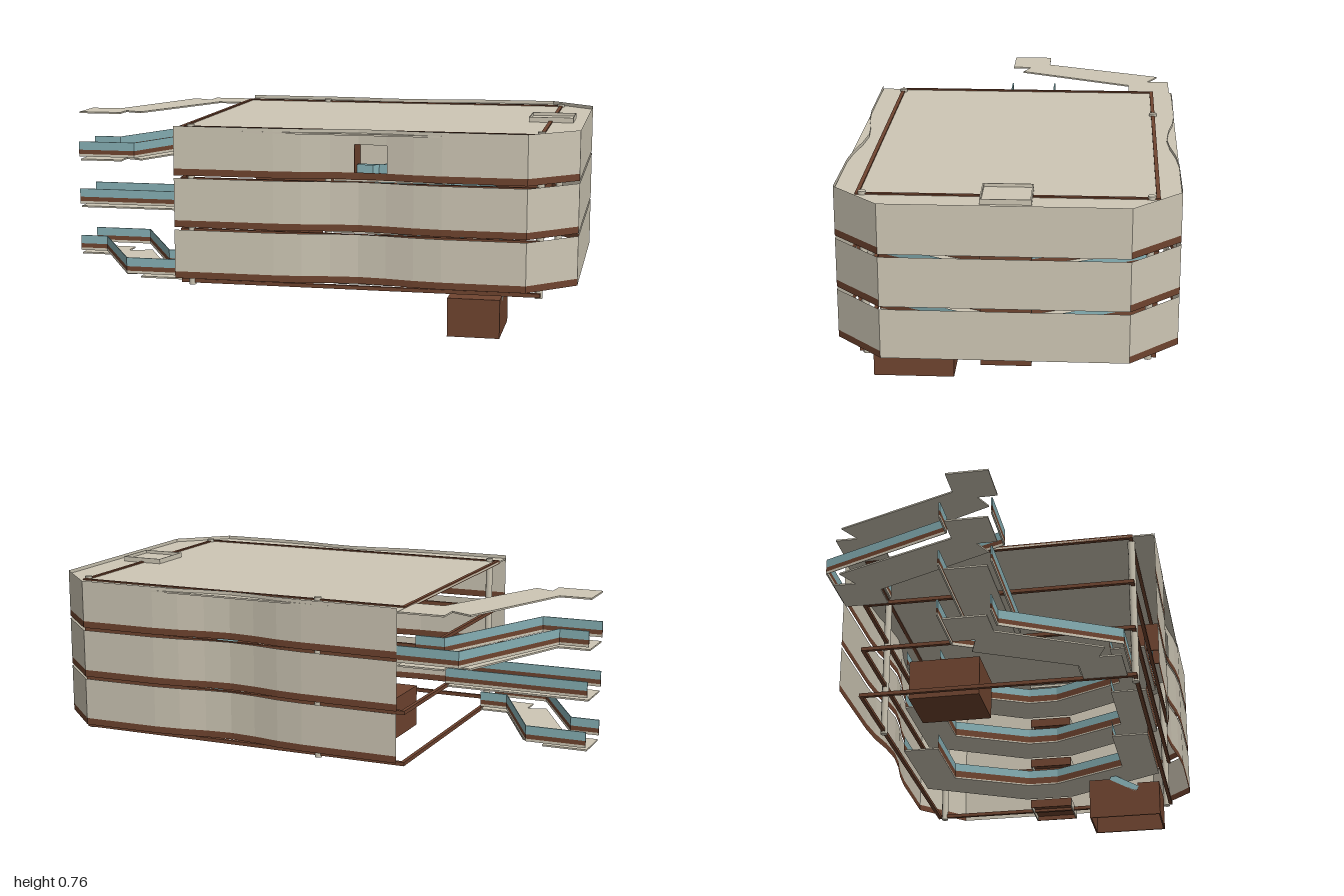
import * as THREE from 'three';

const mat = (name, color) => {
  const m = new THREE.MeshStandardMaterial({ color, side: THREE.DoubleSide });
  m.name = name;
  return m;
};
const PITCH = 0.19;

export function createModel() {
  const model = new THREE.Group();
  const concrete = mat('concrete', 0xcec7b5);
  const brown = mat('brown', 0x6f442f);
  const teal = mat('teal', 0x86b0b5);

  const add = (name, geo, material, parent = model) => {
    const mesh = new THREE.Mesh(geo, material);
    mesh.name = name;
    parent.add(mesh);
    return mesh;
  };
  const box = (name, x0, x1, y0, y1, z0, z1, material, parent) => {
    const g = new THREE.BoxGeometry(x1 - x0, y1 - y0, z1 - z0);
    g.translate((x0 + x1) / 2, (y0 + y1) / 2, (z0 + z1) / 2);
    return add(name, g, material, parent);
  };
  // Upright sheet following a plan path of [x, z] points
  const ribbon = (name, path, y0, y1, material, parent) => {
    const v = [];
    for (let i = 0; i < path.length - 1; i++) {
      const [ax, az] = path[i], [bx, bz] = path[i + 1];
      v.push(ax, y0, az, bx, y0, bz, bx, y1, bz, ax, y0, az, bx, y1, bz, ax, y1, az);
    }
    const g = new THREE.BufferGeometry();
    g.setAttribute('position', new THREE.Float32BufferAttribute(v, 3));
    g.computeVertexNormals();
    return add(name, g, material, parent);
  };
  // Flat plate from a plan outline of [x, z] points
  const plate = (name, outline, y, thick, material, parent) => {
    const shape = new THREE.Shape(outline.map(([x, z]) => new THREE.Vector2(x, -z)));
    const g = new THREE.ExtrudeGeometry(shape, { depth: thick, bevelEnabled: false });
    g.rotateX(-Math.PI / 2);
    g.translate(0, y, 0);
    return add(name, g, material, parent);
  };
  const flip = (pts) => pts.map(([x, z]) => [x, -z]);

  // Long wall: straight, a shallow curved recess, straight again
  const wave = [[-0.45, 0.595], [-0.08, 0.592]];
  for (let i = 1; i <= 6; i++) {
    const t = i / 6;
    wave.push([-0.08 + 0.61 * t, 0.593 - 0.036 * Math.sin(Math.PI * t) ** 2]);
  }
  wave.push([0.83, 0.595]);
  const chamferEnd = [1, 0.425];
  const windowX = [0.21, 0.33];
  const zAt = (x) => {
    const i = Math.max(1, wave.findIndex((p) => p[0] >= x));
    const a = wave[i - 1], b = wave[i];
    return a[1] + (b[1] - a[1]) * (x - a[0]) / (b[0] - a[0]);
  };
  const part = (x0, x1) => [[x0, zAt(x0)],
    ...wave.filter((p) => p[0] > x0 && p[0] < x1), [x1, zAt(x1)]];

  // Three facade tiers, each with a brown band on the long walls and chamfers
  for (let k = 0; k < 3; k++) {
    const tier = new THREE.Group();
    tier.name = 'facadeTier' + (k + 1);
    model.add(tier);
    const y0 = 0.195 + k * PITCH, yb = y0 + 0.025, y1 = y0 + 0.18;
    const side = [...wave, chamferEnd];
    ribbon('backWall', flip(side), yb, y1, concrete, tier);
    ribbon('backBand', flip(side), y0, yb, brown, tier);
    ribbon('frontBand', side, y0, yb, brown, tier);
    ribbon('endWall', [[1, -0.425], [1, 0.425]], y0, y1, concrete, tier);
    if (k < 2) ribbon('frontWall', side, yb, y1, concrete, tier);
    else {
      ribbon('frontWallLeft', part(-0.45, windowX[0]), yb, y1, concrete, tier);
      ribbon('frontWallRight', [...part(windowX[1], 0.83), chamferEnd], yb, y1, concrete, tier);
      ribbon('windowLintel', part(...windowX), 0.7, y1, concrete, tier);
    }
  }

  // Window recess in the top tier
  box('recessSideA', 0.205, 0.21, 0.58, 0.7, 0.44, 0.555, brown);
  box('recessSideB', 0.33, 0.335, 0.58, 0.7, 0.44, 0.555, brown);
  box('recessBack', 0.21, 0.33, 0.58, 0.7, 0.435, 0.44, concrete);
  ribbon('recessGlass', [[0.21, 0.51], [0.27, 0.51], [0.33, 0.445]], 0.58, 0.622, teal);

  // Roof deck with chamfered corners
  plate('roofDeck', [[-0.45, 0.593], [0.83, 0.593], [0.998, 0.425], [0.998, -0.425],
    [0.83, -0.593], [-0.45, -0.593]], 0.736, 0.006, concrete);

  // Brown rail frames and end trays on every level
  for (let k = 0; k < 4; k++) {
    const level = new THREE.Group();
    level.name = 'levelFrame' + (k + 1);
    level.position.y = k * PITCH;
    model.add(level);
    const a = 0.163, b = 0.177;
    for (const z of [-0.512, 0.507]) box('longRail', -0.45, 0.875, a, b, z - 0.007, z + 0.007, brown, level);
    for (const x of [-0.443, 0.868]) box('crossRail', x - 0.007, x + 0.007, a, b, -0.51, 0.505, brown, level);
    const accent = k < 3 ? brown : concrete;
    box('trayFloor', 0.79, 0.95, 0.174, 0.179, -0.09, 0.085, accent, level);
    for (const z of [-0.09, 0.081]) box('traySide', 0.79, 0.95, 0.155, 0.191, z, z + 0.005, concrete, level);
    box('trayInnerEnd', 0.787, 0.79, 0.155, 0.191, -0.09, 0.086, accent, level);
    box('trayOuterEnd', 0.95, 0.953, 0.155, 0.191, -0.09, 0.086, accent, level);
  }

  // Columns
  for (const [x, z] of [[-0.41, 0.505], [-0.11, -0.512], [0.868, -0.49], [0.868, 0.49]]) {
    const g = new THREE.CylinderGeometry(0.014, 0.014, 0.598, 8);
    g.translate(x, 0.455, z);
    add('column', g, concrete);
  }

  // Ramp parapet: thin concrete foot, brown kerb and teal glazing
  const parapet = (path, y, parent) => {
    const outline = [...path, ...path.map(([x, z]) => [x, z + 0.006]).reverse()];
    plate('parapetFoot', outline, y + 0.018, 0.01, concrete, parent);
    plate('parapetKerb', outline, y + 0.028, 0.017, brown, parent);
    plate('parapetGlass', outline, y + 0.045, 0.033, teal, parent);
  };

  // Approach ramps outside the open end
  const backRoad = [[-1, -0.08], [-0.88, -0.08], [-0.7, -0.54], [-0.62, -0.5], [-0.62, -0.585],
    [-0.45, -0.585], [-0.45, -0.42], [-0.56, -0.42], [-0.76, 0.03], [-0.83, 0], [-0.83, 0.075], [-1, 0.075]];
  const backRails = [[[-1, -0.1], [-0.89, -0.1], [-0.68, -0.597], [-0.45, -0.597]],
    [[-1, 0.085], [-0.77, 0.085], [-0.56, -0.415], [-0.45, -0.415]]];
  const frontRoad = [[-1, 0.075], [-0.88, 0.075], [-0.69, 0.43], [-0.62, 0.4], [-0.62, 0.48],
    [-0.45, 0.48], [-0.45, 0.32], [-0.56, 0.32], [-0.74, -0.03], [-0.83, 0], [-0.83, -0.08], [-1, -0.08]];
  const frontRails = [[[-1, 0.085], [-0.89, 0.085], [-0.67, 0.49], [-0.45, 0.49]],
    [[-1, -0.1], [-0.77, -0.1], [-0.56, 0.31], [-0.45, 0.31]]];
  const midRoad = [[-1, -0.08], [-0.45, -0.08], [-0.45, 0.075], [-1, 0.075]];
  const midRails = [[[-1, -0.1], [-0.45, -0.1]], [[-1, 0.085], [-0.45, 0.085]]];
  const ramps = [[frontRoad, frontRails], [midRoad, midRails], [backRoad, backRails], [backRoad, []]];

  // Inner loop road behind the walls at the far end
  const outer = [[0.12, -0.49], [0.54, -0.49], [0.74, -0.1], [0.74, 0.1], [0.54, 0.49], [0.12, 0.49]];
  const inner = [[0.12, -0.35], [0.44, -0.35], [0.58, -0.06], [0.58, 0.06], [0.44, 0.35], [0.12, 0.35]];
  ramps.forEach(([road, rails], k) => {
    const ramp = new THREE.Group();
    ramp.name = 'rampLevel' + (k + 1);
    model.add(ramp);
    const y = 0.165 + k * PITCH;
    plate('rampRoad', road, y, 0.006, concrete, ramp);
    rails.forEach((r) => parapet(r, y, ramp));
    if (k === 3) return;
    plate('loopRoad', [...outer, ...[...inner].reverse()], y + 0.012, 0.006, concrete, ramp);
    for (const edge of [outer, inner]) {
      ribbon('loopKerb', edge, y + 0.018, y + 0.045, brown, ramp);
      ribbon('loopGlass', edge, y + 0.045, y + 0.078, teal, ramp);
    }
  });

  // Hollow ground entrance block with a sloping glazed ramp
  const entrance = new THREE.Group();
  entrance.name = 'entranceBlock';
  model.add(entrance);
  const profile = new THREE.Shape([[-0.49, 0], [-0.2, 0], [-0.2, 0.165], [-0.3, 0.165],
    [-0.4, 0.11], [-0.4, 0.142], [-0.49, 0.142]].map((p) => new THREE.Vector2(...p)));
  for (const x of [0.54, 0.724]) {
    const cheek = new THREE.ExtrudeGeometry(profile, { depth: 0.006, bevelEnabled: false });
    cheek.rotateY(Math.PI / 2);
    cheek.translate(x, 0, 0);
    add('entranceSide', cheek, brown, entrance);
  }
  box('entranceFront', 0.546, 0.724, 0, 0.142, 0.484, 0.49, brown, entrance);
  box('entranceTop', 0.546, 0.724, 0.136, 0.142, 0.4, 0.484, brown, entrance);
  box('entranceBack', 0.546, 0.724, 0, 0.165, 0.2, 0.206, brown, entrance);
  const slope = new THREE.BoxGeometry(0.19, 0.026, 0.125);
  slope.rotateX(0.5);
  slope.translate(0.635, 0.145, 0.345);
  add('entranceRamp', slope, teal, entrance);
  box('entranceLanding', 0.64, 0.72, 0.145, 0.18, 0.21, 0.3, concrete, entrance);

  // Inner stair block near the open end
  box('stairBlock', -0.33, -0.1, 0.195, 0.35, -0.36, -0.09, brown);

  return model;
}
